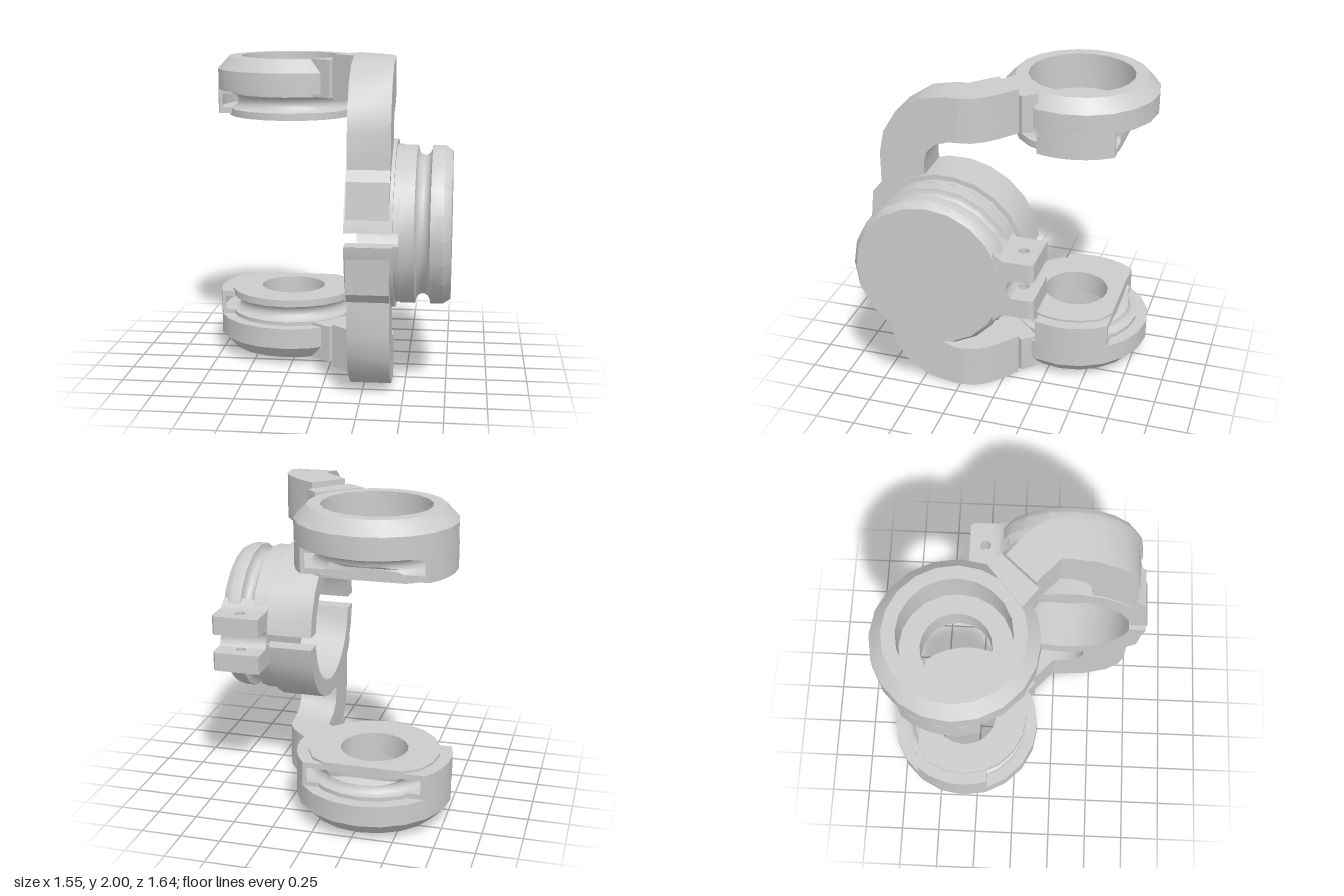
import * as THREE from 'three';
import { toCreasedNormals } from 'three/addons/utils/BufferGeometryUtils.js';

const V = (x, y) => new THREE.Vector2(x, y);
const RX = -0.29, RZ = -0.34;   // centre of the cable rings (x, z)
const CY = 1, CZ = 0.31;        // centre of the pivot drum (y, z)
const crease = (g) => toCreasedNormals(g, 0.6);

// Prism along y from [x, z] corners
function prismY(pts, y0, y1, hole) {
  const s = new THREE.Shape(pts.map(([x, z]) => V(x, -z)));
  if (hole) s.holes.push(new THREE.Path().absarc(hole[0], -hole[1], hole[2], 0, Math.PI * 2));
  const g = new THREE.ExtrudeGeometry(s, { depth: y1 - y0, bevelEnabled: false, curveSegments: 10 });
  return crease(g.rotateX(-Math.PI / 2).translate(0, y0, 0));
}

// Prism along x from [z, y] corners
function prismX(pts, x0, x1) {
  const s = new THREE.Shape(pts.map(([z, y]) => V(-z, y)));
  const g = new THREE.ExtrudeGeometry(s, { depth: x1 - x0, bevelEnabled: false });
  return crease(g.rotateY(Math.PI / 2).translate(x0, 0, 0));
}

// Arc around the drum axis as [z, y] points, angles in degrees from +z
function arc(r, a0, a1, n) {
  return Array.from({ length: n + 1 }, (_, i) => {
    const a = THREE.MathUtils.degToRad(a0 + (a1 - a0) * i / n);
    return [CZ + r * Math.cos(a), CY + r * Math.sin(a)];
  });
}

// Round cable groove for a lathe profile
function groove(r, y, radius, depth) {
  return Array.from({ length: 9 }, (_, i) => {
    const a = -Math.PI / 2 + Math.PI * i / 8;
    return V(r - depth * Math.cos(a), y + radius * Math.sin(a));
  });
}

// Mirrored copy about y = 1, with the corner order turned round
function mirrorY(geo) {
  const g = geo.clone();
  for (const name of ['position', 'normal']) {
    const a = g.attributes[name];
    for (let i = 0; i < a.count; i += 3) {
      const p = [0, 2, 1].map((k) => [a.getX(i + k), a.getY(i + k), a.getZ(i + k)]);
      p.forEach(([x, y, z], k) => a.setXYZ(i + k, x, name === 'position' ? 2 - y : -y, z));
    }
  }
  return g;
}

// Ring with counterbore, cable groove and a flat back on the lower flange
function ringGeometry() {
  const p = [V(0.21, 1.58), V(0.41, 1.58), V(0.41, 1.62), ...groove(0.41, 1.675, 0.05, 0.055),
    V(0.41, 1.75), V(0.485, 1.75), V(0.485, 1.88), V(0.41, 1.96), V(0.33, 1.96),
    V(0.33, 1.73), V(0.21, 1.73), V(0.21, 1.58)];
  const g = new THREE.LatheGeometry(p, 20).translate(RX, 0, RZ);
  const a = g.attributes.position;
  for (let i = 0; i < a.count; i++) {
    if (a.getY(i) < 1.66) a.setZ(i, Math.max(a.getZ(i), -0.64));
  }
  return crease(g);
}

// Side guard beside the groove: slice of the ring between two flat cuts
function guard(side, inner, y0, y1) {
  const zs = Array.from({ length: 7 }, (_, i) => -0.30 + 0.46 * i / 6);
  const edge = (r) => zs.map((z) => [RX + side * Math.sqrt(r * r - z * z), RZ + z]);
  return prismY([...edge(0.483), ...edge(inner).reverse()], y0, y1);
}

export function createModel() {
  const root = new THREE.Group();
  root.name = 'yokeJoint';
  const mat = new THREE.MeshStandardMaterial({ color: 0xcccccc, side: THREE.DoubleSide });
  const add = (name, geo, parent = root) => {
    const m = new THREE.Mesh(geo, mat);
    m.name = name;
    parent.add(m);
  };

  const upper = new THREE.Group(), lower = new THREE.Group();
  upper.name = 'upperHalf';
  lower.name = 'lowerHalf';
  root.add(upper, lower);
  const both = (name, geo) => {
    add(name, geo, upper);
    add(name, mirrorY(geo), lower);
  };

  // Cable rings and their side guards, leaving a tunnel for the cable
  both('cableRing', ringGeometry());
  for (const side of [-1, 1]) {
    both('guardFloor', guard(side, 0.32, 1.595, 1.63));
    both('guardWall', guard(side, 0.462, 1.63, 1.72));
    both('guardRoof', guard(side, 0.37, 1.72, 1.76));
  }

  // Lug and bent arm joining ring to yoke
  both('ringLug', prismY([[-0.12, 0.03], [0, 0.12], [0.2, -0.1], [0.13, -0.18], [0, -0.07]], 1.73, 1.965));
  both('bentArm', prismY([[0.17, 0.24], [0.02, 0.1], [0.18, -0.075], [0.3, 0.02], [0.36, 0.08],
    [0.405, 0.15], [0.42, 0.24]], 1.72, 2));

  // Curved yoke bar, hollowed by the clamp bore
  both('yokeBar', prismX([[0.23, 2], [0.3, 2], [0.46, 1.97], [0.61, 1.87], [0.69, 1.74], [0.72, 1.6],
    [0.72, 1.39], [0.78, 1.33], [0.81, 1.04], ...arc(0.4, 6, 71, 6),
    [0.44, 1.58], [0.42, 1.64], [0.37, 1.69], [0.28, 1.72], [0.23, 1.72]], 0.17, 0.42));

  // Split clamp ring, slit at front and back
  const halfRing = (r, x0, x1) => prismX([...arc(r, 4.6, 175.4, 11), ...arc(0.4, 174.2, 5.8, 11)], x0, x1);
  both('clampRing', halfRing(0.51, 0.16, 0.44));
  both('clampCollar', halfRing(0.48, 0.44, 0.475));

  // Grooved drum
  const drum = [V(0, 0.47), V(0.48, 0.47), V(0.48, 0.545), ...groove(0.48, 0.605, 0.045, 0.06),
    V(0.48, 0.665), V(0.48, 0.725), V(0.45, 0.77), V(0, 0.77)];
  add('drum', crease(new THREE.LatheGeometry(drum, 20).rotateZ(-Math.PI / 2).translate(0, CY, CZ)));

  // Cable lug on the back of the drum: web and two drilled ears
  const web = [[-0.09, 1.23], [-0.12, 1.2], [-0.15, 1.18], [-0.2, 1.18], [-0.2, 1.06], [-0.18, 1.035], [-0.17, 1]];
  const webLow = web.slice(0, -1).reverse().map(([z, y]) => [z, 2 - y]);
  add('earWeb', prismX([...web, ...webLow], 0.46, 0.768));
  both('drilledEar', prismY([[0.46, -0.2], [0.768, -0.2], [0.768, -0.31], [0.75, -0.335], [0.46, -0.335]],
    1.06, 1.18, [0.61, -0.235, 0.033]));
  return root;
}
